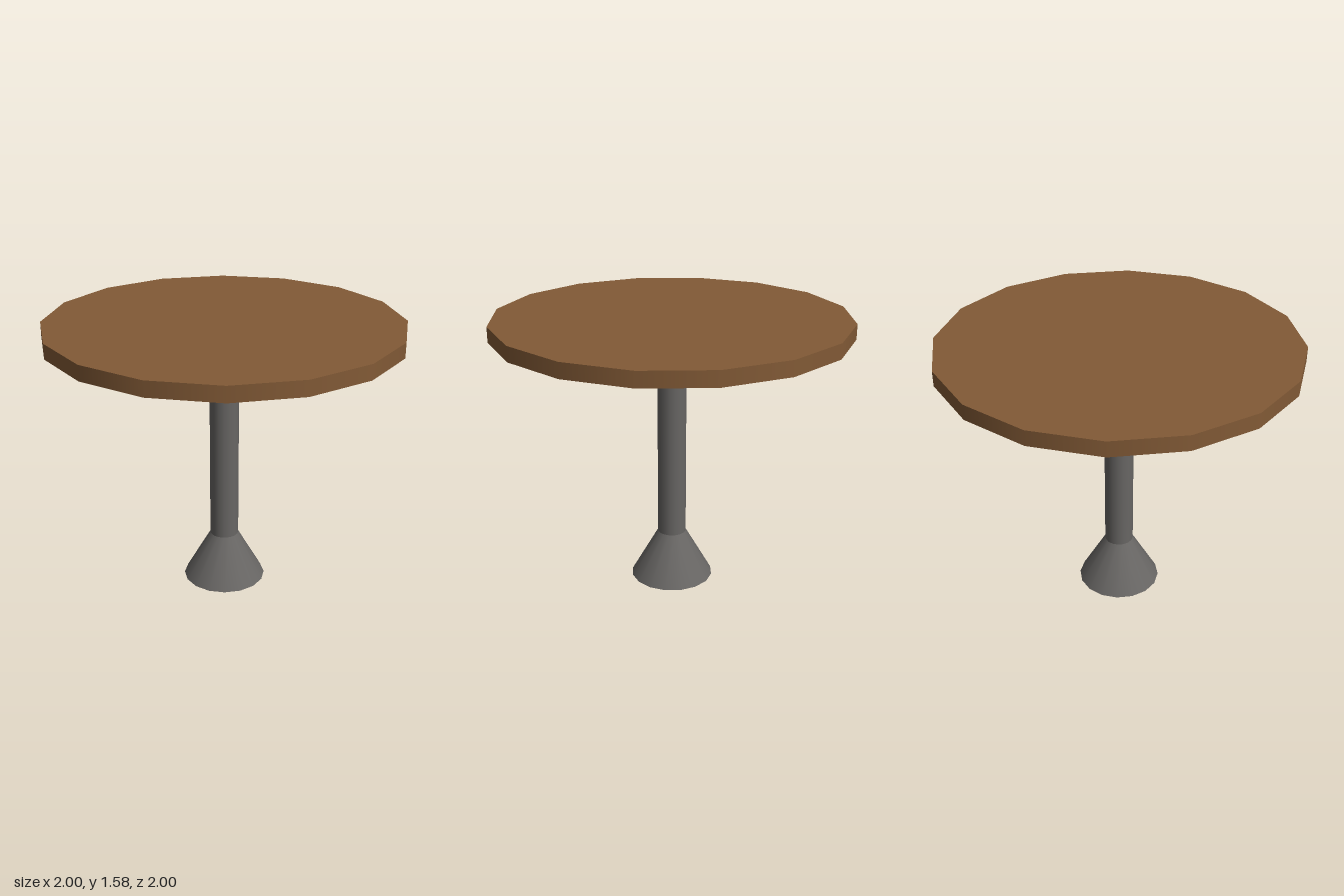
import * as THREE from 'three';

const SIDES = 16;

export function createModel() {
  const wood = new THREE.MeshStandardMaterial({ color: 0x825a36 });
  wood.name = 'brown wood';
  const metal = new THREE.MeshStandardMaterial({ color: 0x686664 });
  metal.name = 'grey metal';

  const table = new THREE.Group();
  table.name = 'pedestalTable';

  // Upright round part spanning the heights y0 to y1
  function addRound(name, topRadius, bottomRadius, y0, y1, material) {
    const geometry = new THREE.CylinderGeometry(topRadius, bottomRadius, y1 - y0, SIDES);
    const mesh = new THREE.Mesh(geometry, material);
    mesh.name = name;
    mesh.position.y = (y0 + y1) / 2;
    table.add(mesh);
  }

  // Flared foot, slim column and sixteen-sided top
  addRound('foot', 0.08, 0.24, 0, 0.285, metal);
  addRound('column', 0.083, 0.083, 0.28, 1.5, metal);
  addRound('tabletop', 1, 1, 1.495, 1.58, wood);

  return table;
}
